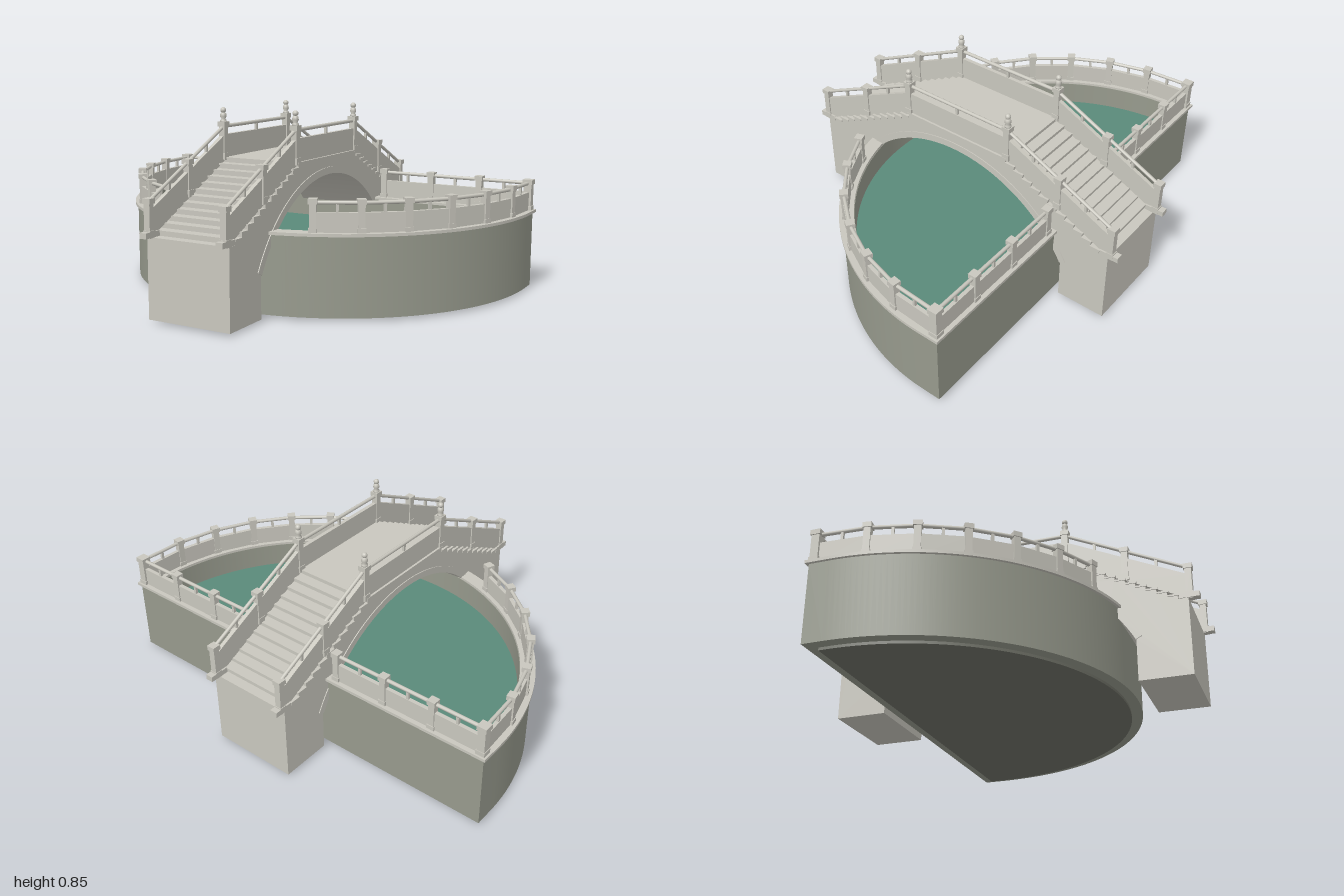
import * as THREE from 'three';
import { toCreasedNormals } from 'three/addons/utils/BufferGeometryUtils.js';

const mat = (color) => new THREE.MeshStandardMaterial({ color });
const V = (x, y, z) => new THREE.Vector3(x, y, z);

const CZ = -0.455; // centre of the basin's round wall
const WATER_Y = 0.25;
const DECK_Y = 0.63, DECK_Z = 0.275, END_Y = 0.36, END_Z = 0.815, STEPS = 12;
const ARCH_Y = -0.11, ARCH_R = 0.66;

export function createModel() {
  const model = new THREE.Group();
  const stone = mat(0xc9c7be), wallStone = mat(0x979a8d), baseStone = mat(0x6f7167), waterMat = mat(0x5a8a7a);

  const add = (name, geo, material, parent = model) => {
    const mesh = new THREE.Mesh(geo, material);
    mesh.name = name;
    parent.add(mesh);
    return mesh;
  };
  const box = (name, w, h, d, x, y, z, parent, rot = 0) => {
    const m = add(name, new THREE.BoxGeometry(w, h, d), stone, parent);
    m.position.set(x, y, z);
    m.rotation.y = rot;
    return m;
  };

  // Half-round outline with a straight back, drawn in (x, -z)
  const outline = (r, back, Type = THREE.Shape) => {
    const s = new Type();
    s.moveTo(-r, back);
    s.lineTo(-r, -CZ);
    s.absarc(0, -CZ, r, Math.PI, 2 * Math.PI, false);
    s.lineTo(r, back);
    s.closePath();
    return s;
  };
  const slab = (name, outer, inner, y, h, material) => {
    const s = outline(...outer);
    if (inner) s.holes.push(outline(...inner, THREE.Path));
    const g = new THREE.ExtrudeGeometry(s, { depth: h, bevelEnabled: false, curveSegments: 64 });
    g.rotateX(-Math.PI / 2).translate(0, y, 0);
    add(name, toCreasedNormals(g, 0.5), material);
  };

  // Basin
  slab('basinBase', [0.935, 0.497], null, 0, 0.03, baseStone);
  slab('basinWall', [0.985, 0.545], [0.93, 0.485], 0.012, 0.348, wallStone);
  slab('basinCoping', [0.998, 0.558], [0.932, 0.488], 0.358, 0.013, stone);
  slab('water', [0.94, 0.495], null, WATER_Y - 0.01, 0.01, waterMat);

  // Bridge body: stepped profile in (z, y) with an arch cut through
  const run = (END_Z - DECK_Z) / STEPS, rise = (DECK_Y - END_Y) / STEPS;
  const extrudeAcross = (shape, width) => {
    const g = new THREE.ExtrudeGeometry(shape, { depth: width, bevelEnabled: false, curveSegments: 40 });
    return toCreasedNormals(g.rotateY(-Math.PI / 2).translate(width / 2, 0, 0), 0.4);
  };
  const flank = []; // from the bottom step up to the deck
  for (let i = 0; i < STEPS; i++) {
    flank.push([END_Z - i * run, END_Y + i * rise], [END_Z - (i + 1) * run, END_Y + i * rise]);
  }
  flank.push([DECK_Z, DECK_Y]);
  const body = new THREE.Shape();
  const springZ = Math.sqrt(ARCH_R ** 2 - (0.2 - ARCH_Y) ** 2);
  const springA = Math.atan2(0.2 - ARCH_Y, springZ);
  body.moveTo(END_Z, 0.012);
  flank.forEach(([z, y]) => body.lineTo(z, y));
  [...flank].reverse().forEach(([z, y]) => body.lineTo(-z, y));
  body.lineTo(-END_Z, 0.012);
  body.lineTo(-springZ, 0.012);
  body.lineTo(-springZ, 0.2);
  body.absarc(0, ARCH_Y, ARCH_R, Math.PI - springA, springA, true);
  body.lineTo(springZ, 0.012);
  add('bridgeBody', extrudeAcross(body, 0.4), stone);

  // Arch ring, slightly proud of the bridge sides
  const ring = new THREE.Shape();
  ring.absarc(0, ARCH_Y, ARCH_R + 0.03, springA, Math.PI - springA, false);
  ring.absarc(0, ARCH_Y, ARCH_R - 0.002, Math.PI - springA, springA, true);
  add('archRing', extrudeAcross(ring, 0.408), stone);

  // Treads with a small nosing
  for (const s of [1, -1]) {
    for (let i = 1; i <= STEPS; i++) {
      box('tread', 0.408, 0.008, run + 0.006, 0, END_Y + i * rise - 0.003, s * (END_Z - (i + 0.5) * run + 0.003));
    }
  }
  box('deckSlab', 0.408, 0.008, 2 * DECK_Z, 0, DECK_Y - 0.003, 0);

  // Bar between two points; its ends stay vertical when it slopes
  const bar = (name, a, b, h, t, parent, round = false) => {
    const d = b.clone().sub(a);
    const side = V(-d.z, 0, d.x).normalize().multiplyScalar(t);
    const g = round ? new THREE.CylinderGeometry(0.5, 0.5, 1, 10).rotateZ(Math.PI / 2) : new THREE.BoxGeometry(1, 1, 1);
    const m = new THREE.Matrix4().makeBasis(d, V(0, h, 0), side);
    m.setPosition(a.clone().add(b).multiplyScalar(0.5));
    add(name, g.applyMatrix4(m), stone, parent);
  };
  const lift = (p, h) => V(p.x, p.y + h, p.z);
  // Panel, stud and handrail between two posts
  const span = (a, b, panelH, railY, parent) => {
    const low = -0.012, mid = (panelH + low) / 2;
    bar('panel', lift(a, mid), lift(b, mid), panelH - low, 0.018, parent);
    bar('handrail', lift(a, railY), lift(b, railY), 0.017, 0.017, parent, true);
    const c = a.clone().add(b).multiplyScalar(0.5);
    const rot = Math.atan2(b.x - a.x, b.z - a.z);
    box('stud', 0.012, railY - panelH, 0.012, c.x, c.y + (railY + panelH) / 2, c.z, parent, rot);
  };
  const post = (p, w, h, parent, rot = 0) => {
    box('post', w, h, w, p.x, p.y + h / 2 - 0.012, p.z, parent, rot);
    box('postFoot', w + 0.006, 0.03, w + 0.006, p.x, p.y + 0.005, p.z, parent, rot);
    box('postCap', w + 0.009, 0.022, w + 0.009, p.x, p.y + h - 0.016, p.z, parent, rot);
  };

  // Finial: turned pedestal with a small seated carving
  const finialProfile = [[0, 0], [0.015, 0], [0.015, 0.008], [0.009, 0.014], [0.015, 0.025], [0.013, 0.038], [0.007, 0.044], [0, 0.045]]
    .map(([r, y]) => new THREE.Vector2(r, y));
  const finial = (p, parent) => {
    const f = new THREE.Group();
    f.name = 'finial';
    f.position.copy(p);
    add('finialBody', new THREE.LatheGeometry(finialProfile, 14), stone, f);
    const head = add('finialHead', new THREE.SphereGeometry(0.013, 12, 8), stone, f);
    head.position.y = 0.053;
    parent.add(f);
  };

  // Bridge balustrades
  for (const s of [1, -1]) {
    const rail = new THREE.Group();
    rail.name = s > 0 ? 'leftBridgeRailing' : 'rightBridgeRailing';
    model.add(rail);
    const x = s * 0.185;
    const pts = [V(x, 0.37, 0.82), V(x, 0.5, 0.547), V(x, DECK_Y, DECK_Z)];
    pts.push(...[...pts].reverse().map((p) => V(p.x, p.y, -p.z)));
    pts.forEach((p, i) => {
      post(p, 0.029, i === 2 || i === 3 ? 0.165 : 0.157, rail);
      if (i) span(pts[i - 1], p, 0.103, 0.139, rail);
    });
    for (const i of [2, 3]) finial(lift(pts[i], 0.158), rail);
    for (const e of [1, -1]) box('endFoot', 0.034, 0.024, 0.09, x, 0.373, e * 0.818, rail);
  }

  // Basin balustrades: straight back, corner, then the curved front
  for (const s of [1, -1]) {
    const rail = new THREE.Group();
    rail.name = s > 0 ? 'leftBasinRailing' : 'rightBasinRailing';
    model.add(rail);
    const pts = [0.24, 0.487, 0.73, 0.967].map((x) => ({ p: V(s * x, 0.37, -0.528), w: x > 0.9 ? 0.036 : 0.029, rot: 0 }));
    for (let i = 0; i < 6; i++) {
      const a = THREE.MathUtils.degToRad(8.7 + i * 11.85);
      pts.push({ p: V(s * 0.966 * Math.cos(a), 0.37, CZ + 0.966 * Math.sin(a)), w: 0.029, rot: -s * a });
    }
    pts.forEach(({ p, w, rot }, i) => {
      post(p, w, 0.147, rail, rot);
      if (i) span(pts[i - 1].p, p, 0.085, 0.125, rail);
    });
  }
  return model;
}
